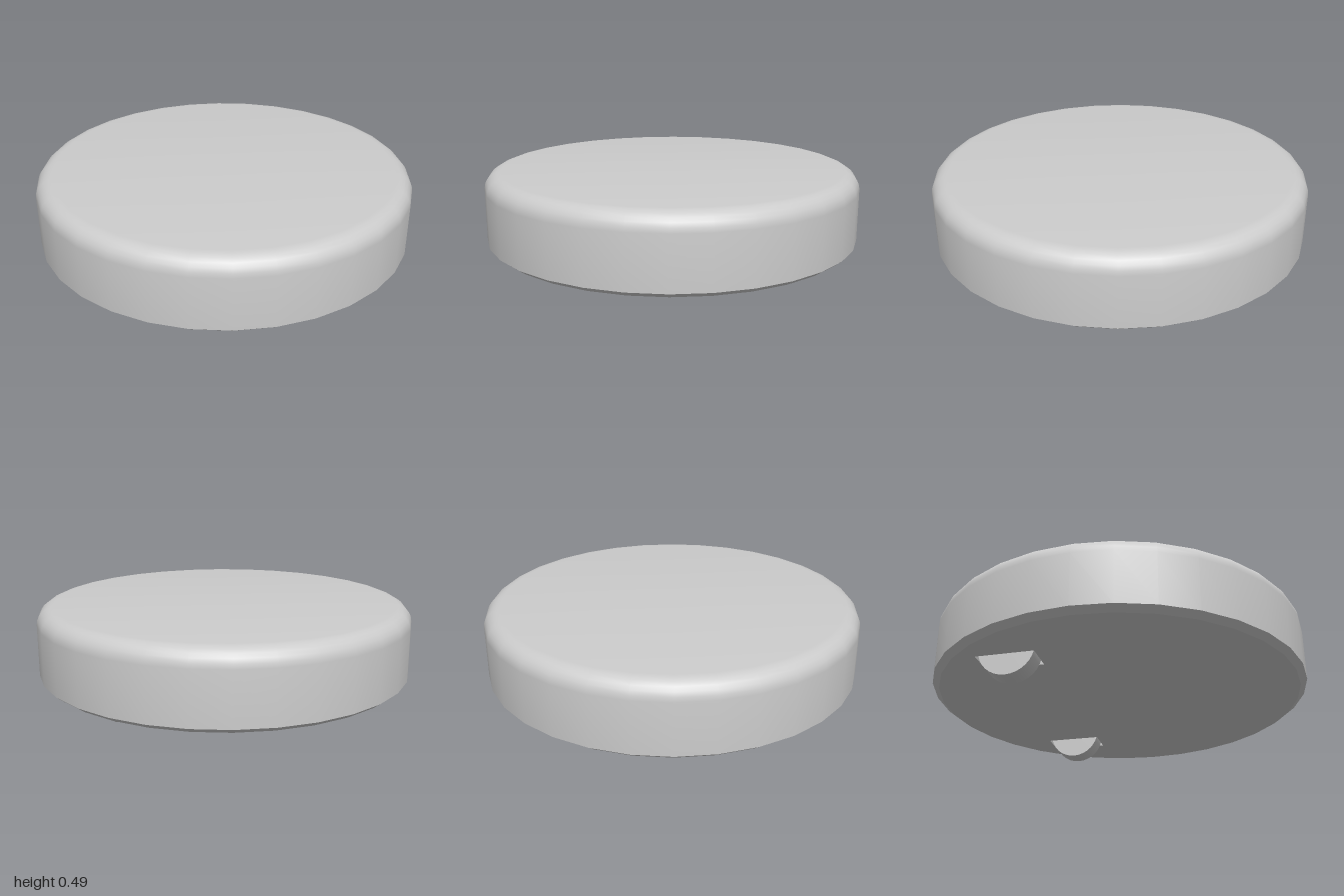
import * as THREE from 'three';
import { toCreasedNormals } from 'three/addons/utils/BufferGeometryUtils.js';

const SIDES = 32;
const BASE_Y = 0.1, TOP_Y = 0.49, BASE_R = 0.965;
const WHEEL = { x: 0.6, z: -0.413, r: 0.145, width: 0.11 };
const POCKET = { width: 0.155, length: 0.3, depth: 0.2 };

export function createModel() {
  const group = new THREE.Group();
  const grey = new THREE.MeshStandardMaterial({ color: 0xcccccc });
  const inside = new THREE.MeshStandardMaterial({ color: 0xcccccc, side: THREE.BackSide });

  const add = (name, geometry, material = grey) => {
    const mesh = new THREE.Mesh(geometry, material);
    mesh.name = name;
    group.add(mesh);
    return mesh;
  };

  // Round shell: chamfered lower edge, straight wall, rounded top edge, flat lid
  const profile = [new THREE.Vector2(BASE_R, BASE_Y), new THREE.Vector2(1, 0.127)];
  const bevel = 0.09, steps = 6;
  for (let i = 0; i <= steps; i++) {
    const a = (i / steps) * Math.PI / 2;
    profile.push(new THREE.Vector2(1 - bevel + bevel * Math.cos(a), TOP_Y - bevel + bevel * Math.sin(a)));
  }
  profile.push(new THREE.Vector2(0, TOP_Y));
  add('shell', toCreasedNormals(new THREE.LatheGeometry(profile, SIDES), 0.6));

  // Underside plate with a rectangular opening for each wheel
  const plate = new THREE.Shape();
  for (let i = 0; i < SIDES; i++) {
    const a = (i / SIDES) * Math.PI * 2;
    plate[i ? 'lineTo' : 'moveTo'](BASE_R * Math.cos(a), BASE_R * Math.sin(a));
  }
  plate.closePath();
  for (const side of [-1, 1]) {
    const x = side * WHEEL.x, w = POCKET.width / 2, l = POCKET.length / 2;
    const hole = new THREE.Path();
    hole.moveTo(x - w, WHEEL.z - l);
    hole.lineTo(x - w, WHEEL.z + l);
    hole.lineTo(x + w, WHEEL.z + l);
    hole.lineTo(x + w, WHEEL.z - l);
    hole.closePath();
    plate.holes.push(hole);
  }
  add('underside', new THREE.ShapeGeometry(plate).rotateX(Math.PI / 2)).position.y = BASE_Y;

  // Wheel pocket: a box seen from within, its lower face removed
  const pocket = new THREE.BoxGeometry(POCKET.width, POCKET.depth, POCKET.length);
  pocket.setIndex(Array.from(pocket.index.array).filter((_, i) => i < 18 || i >= 24));
  pocket.clearGroups();

  const wheel = new THREE.CylinderGeometry(WHEEL.r, WHEEL.r, WHEEL.width, 32).rotateZ(Math.PI / 2);

  for (const [side, label] of [[1, 'left'], [-1, 'right']]) {
    add(label + 'WheelPocket', pocket, inside)
      .position.set(side * WHEEL.x, BASE_Y + POCKET.depth / 2, WHEEL.z);
    add(label + 'Wheel', wheel).position.set(side * WHEEL.x, WHEEL.r, WHEEL.z);
  }

  return group;
}
